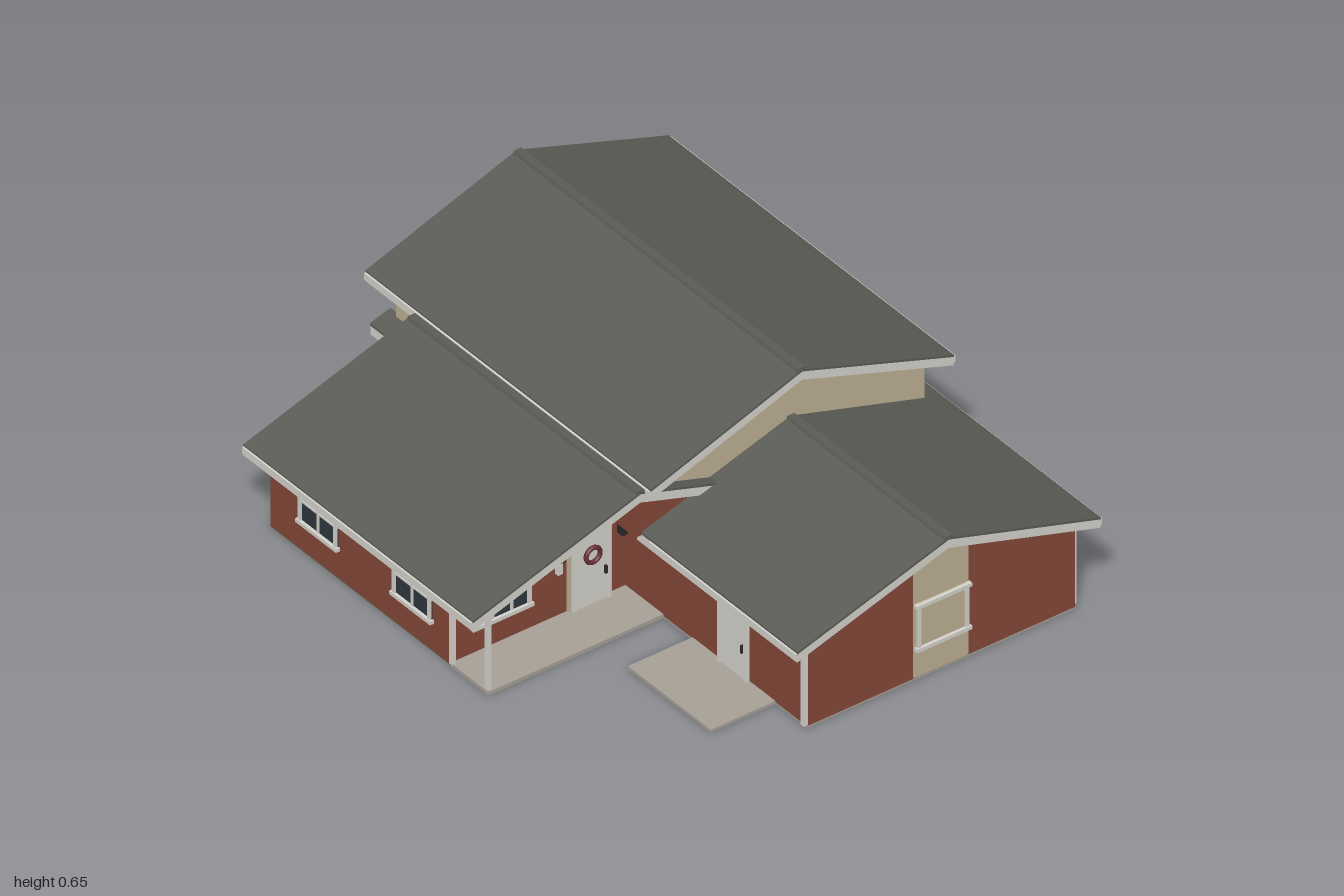
import * as THREE from 'three';

export function createModel() {
  const house = new THREE.Group();
  house.name = 'house';
  const mat = (name, color) => {
    const m = new THREE.MeshStandardMaterial({ color });
    m.name = name;
    return m;
  };
  const brick = mat('brick', 0x85483a);
  const siding = mat('siding', 0xbfb194);
  const shingle = mat('shingle', 0x5b5c56);
  const white = mat('white trim', 0xd6d4ce);
  const glass = mat('glass', 0x2f383e);
  const concrete = mat('concrete', 0xa8a197);
  const soil = mat('underside', 0x74523a);
  const dark = mat('dark metal', 0x2a2a2a);
  const red = mat('wreath', 0x6a3038);

  const add = (parent, name, geo, material) => {
    const m = new THREE.Mesh(geo, material);
    m.name = name;
    parent.add(m);
    return m;
  };
  // Box given by its limits
  const box = (parent, name, material, x0, x1, y0, y1, z0, z1) => {
    const g = new THREE.BoxGeometry(x1 - x0, y1 - y0, z1 - z0);
    g.translate((x0 + x1) / 2, (y0 + y1) / 2, (z0 + z1) / 2);
    return add(parent, name, g, material);
  };
  // Front-facing outline swept from z0 to z1
  const prism = (name, material, pts, z0, z1) => {
    const shape = new THREE.Shape(pts.map(([x, y]) => new THREE.Vector2(x, y)));
    const g = new THREE.ExtrudeGeometry(shape, { depth: z1 - z0, bevelEnabled: false });
    g.translate(0, 0, z0);
    return add(house, name, g, material);
  };
  // Roof following a line of points: white slab, shingle layer on top
  const roof = (name, line, z0, z1) => {
    const band = (top, bottom) => [
      ...line.map(([x, y]) => [x, y - top]),
      ...line.map(([x, y]) => [x, y - bottom]).reverse(),
    ];
    prism(name + 'Fascia', white, band(0.007, 0.036), z0, z1);
    prism(name + 'Shingles', shingle, band(0, 0.007), z0 - 0.002, z1 + 0.002);
  };
  const ridgeCap = (name, x, y, z0, z1) =>
    prism(name, shingle, [[x - 0.016, y - 0.006], [x + 0.016, y - 0.006], [x + 0.012, y + 0.004], [x - 0.012, y + 0.004]], z0, z1);

  // Foundations
  box(house, 'mainBase', soil, -0.16, 0.75, 0, 0.006, -0.88, 0.29);
  box(house, 'wingBase', soil, -0.75, -0.16, 0, 0.006, -0.66, 0.15);
  box(house, 'garageFloor', concrete, -0.16, 0.75, 0, 0.006, 0.29, 0.96);
  box(house, 'porchFloor', concrete, -0.755, -0.16, 0, 0.012, 0.15, 0.32);
  box(house, 'sideStep', concrete, -0.38, -0.16, 0, 0.01, 0.45, 0.82);
  box(house, 'backStep', concrete, 0.21, 0.38, 0, 0.012, -1, -0.88);

  // Walls
  box(house, 'mainWalls', brick, -0.16, 0.75, 0.006, 0.285, -0.88, 0.29);
  prism('upperSiding', siding,
    [[-0.16, 0.285], [0.75, 0.285], [0.75, 0.46], [0.295, 0.615], [-0.16, 0.46]], -0.875, 0.29);
  prism('garageWalls', brick,
    [[-0.16, 0.006], [0.75, 0.006], [0.75, 0.29], [0.295, 0.43], [-0.16, 0.29]], 0.29, 0.96);
  prism('wingWalls', brick,
    [[-0.75, 0.006], [-0.16, 0.006], [-0.16, 0.405], [-0.24, 0.43], [-0.75, 0.265]], -0.66, 0.15);
  prism('valleyWall', brick,
    [[-0.24, 0.29], [0.02, 0.29], [0.02, 0.35], [-0.24, 0.43]], 0.15, 0.3);

  // Roofs
  roof('mainRoof', [[-0.22, 0.465], [0.295, 0.642], [0.81, 0.465]], -0.93, 0.34);
  ridgeCap('mainRidge', 0.295, 0.642, -0.93, 0.34);
  roof('garageRoof', [[-0.22, 0.3], [0.295, 0.458], [0.81, 0.3]], 0.28, 0.995);
  ridgeCap('garageRidge', 0.295, 0.458, 0.29, 0.995);
  roof('wingRoof', [[-0.81, 0.275], [-0.24, 0.456], [0.02, 0.373]], -0.7, 0.322);
  ridgeCap('wingRidge', -0.24, 0.456, -0.7, 0.322);
  roof('leftSkirtRoof', [[0.74, 0.321], [0.81, 0.3]], -0.91, 0.29);
  roof('rightSkirtRoof', [[-0.22, 0.3], [-0.15, 0.321]], -0.91, -0.66);

  // Gutter lips along the eaves
  for (const [x, y, z0, z1] of [[0.81, 0.45, -0.93, 0.34], [-0.22, 0.45, -0.93, 0.34], [0.81, 0.284, -0.91, 0.995],
    [-0.22, 0.284, 0.34, 0.995], [-0.81, 0.26, -0.7, 0.322]])
    box(house, 'gutter', white, x - 0.006, x + 0.006, y - 0.012, y + 0.01, z0, z1);

  // Wall details are built facing +z, then turned to their wall
  const mount = (name, x, y, z, turn) => {
    const g = new THREE.Group();
    g.name = name;
    g.position.set(x, y, z);
    g.rotation.y = turn;
    house.add(g);
    return g;
  };
  const FRONT = 0, BACK = Math.PI, LEFT = Math.PI / 2, RIGHT = -Math.PI / 2;

  const addWindow = (x, y, z, turn, w = 0.17, h = 0.15, columns = 2, pane = glass) => {
    const g = mount('window', x, y, z, turn);
    const a = w / 2, b = h / 2, t = 0.012;
    box(g, 'pane', pane, -a, a, -b, b, 0, 0.004);
    for (const s of [-1, 1]) {
      box(g, 'jamb', white, s * (a - t / 2) - t / 2, s * (a - t / 2) + t / 2, -b, b, 0, 0.01);
      box(g, 'rail', white, -a - 0.006, a + 0.006, s * (b - t / 2) - t / 2, s * (b - t / 2) + t / 2, 0, 0.014);
    }
    if (pane !== glass) return;
    for (let i = 1; i < columns; i++) {
      const c = -a + (w * i) / columns;
      box(g, 'mullion', white, c - 0.004, c + 0.004, -b, b, 0, 0.008);
    }
    box(g, 'crossbar', white, -a, a, -0.003, 0.003, 0, 0.007);
  };
  const addDoor = (x, z, turn, w = 0.115, h = 0.24) => {
    const g = mount('door', x, 0.008, z, turn);
    box(g, 'doorLeaf', white, -w / 2, w / 2, 0, h, 0, 0.008);
    for (const s of [-1, 1])
      box(g, 'doorFrame', white, s * w / 2 - 0.006, s * w / 2 + 0.006, 0, h + 0.006, 0, 0.013);
    box(g, 'doorHead', white, -w / 2, w / 2, h - 0.006, h + 0.006, 0, 0.013);
    box(g, 'handle', dark, w * 0.36, w * 0.42, 0.09, 0.115, 0.008, 0.016);
    return g;
  };

  // Left side
  for (const z of [0.095, -0.365, -0.745]) addWindow(0.75, 0.185, z, LEFT);
  addWindow(0.75, 0.187, 0.77, LEFT, 0.135, 0.105);
  addDoor(0.75, 0.55, LEFT);
  // Back
  addWindow(0.55, 0.185, -0.88, BACK);
  addWindow(0.07, 0.185, -0.88, BACK);
  addDoor(0.3, -0.88, BACK);
  addWindow(-0.32, 0.185, -0.66, BACK, 0.14, 0.13);
  addWindow(-0.57, 0.175, -0.66, BACK);
  // Right side
  addWindow(-0.75, 0.17, -0.44, RIGHT);
  addWindow(-0.75, 0.17, -0.02, RIGHT);
  addDoor(-0.16, 0.64, RIGHT);
  // Porch front
  addWindow(-0.583, 0.17, 0.15, FRONT, 0.195, 0.16, 3);
  prism('entryPanel', siding, [[-0.36, 0.012], [-0.21, 0.012], [-0.21, 0.425], [-0.24, 0.43], [-0.36, 0.393]], 0.15, 0.156);
  const entry = addDoor(-0.285, 0.156, FRONT, 0.115, 0.235);
  const wreath = add(entry, 'wreath', new THREE.TorusGeometry(0.024, 0.007, 8, 20), red);
  wreath.position.set(0, 0.17, 0.014);
  // Garage front with boarded window
  prism('garagePanel', siding, [[0.2, 0.012], [0.385, 0.012], [0.385, 0.405], [0.295, 0.43], [0.2, 0.405]], 0.96, 0.966);
  addWindow(0.293, 0.18, 0.966, FRONT, 0.175, 0.155, 2, siding);

  // Porch lamps and mailbox
  for (const [x, z] of [[-0.39, 0.15], [-0.18, 0.15]])
    box(house, 'lamp', dark, x - 0.009, x + 0.009, 0.2, 0.235, z, z + 0.025);
  box(house, 'mailbox', white, -0.4, -0.383, 0.155, 0.198, 0.15, 0.165);

  // Porch post, corner trim and downspouts
  const posts = [[-0.745, 0.305], [-0.75, 0.153], [-0.165, 0.955], [0.754, 0.945], [0.754, -0.87], [-0.164, -0.87]];
  for (const [x, z] of posts)
    box(house, 'post', white, x - 0.007, x + 0.007, 0.01, 0.275, z - 0.007, z + 0.007);
  box(house, 'meter', dark, 0.75, 0.765, 0.11, 0.14, -0.855, -0.835);

  return house;
}
